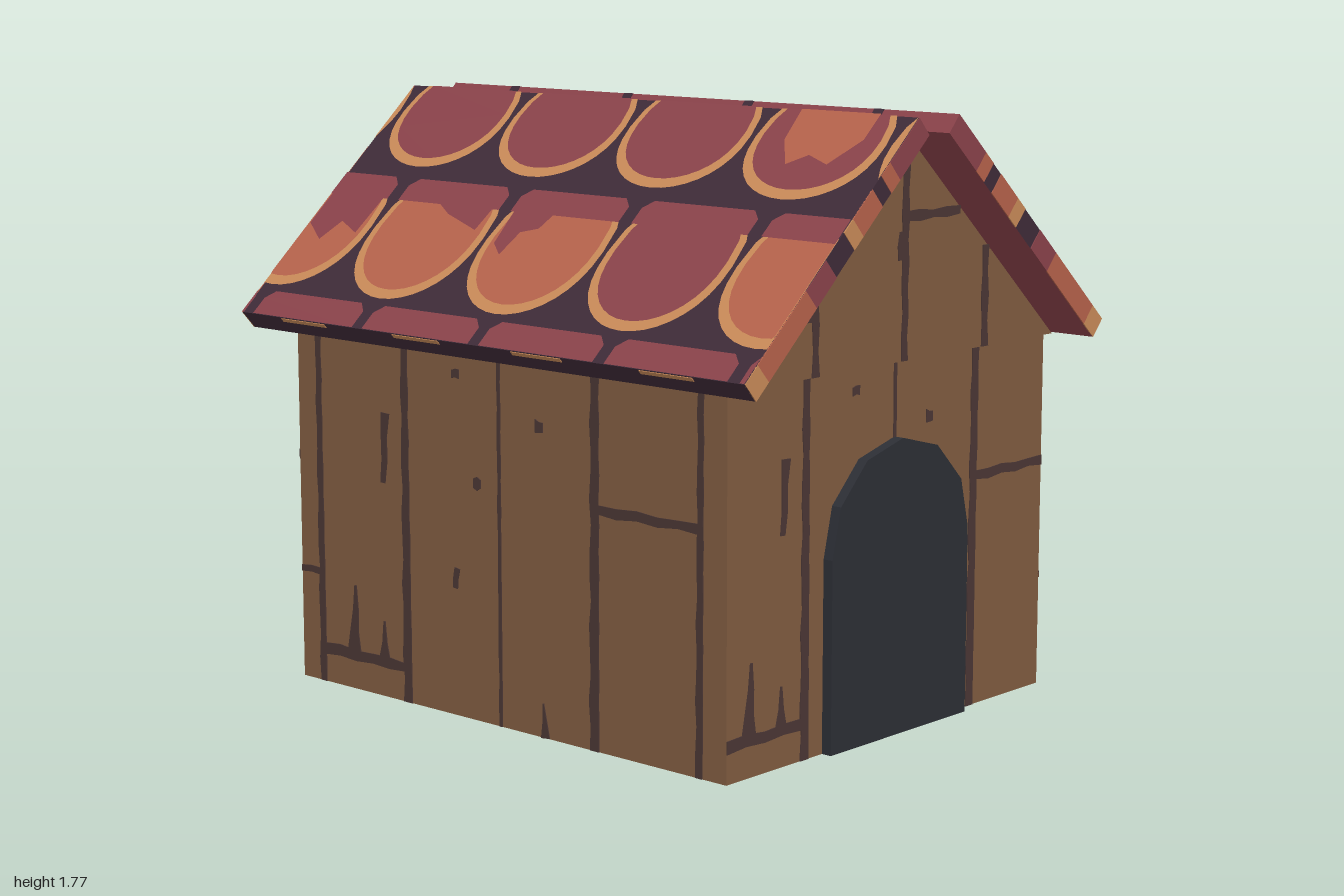
import * as THREE from 'three';

const material = (name, color, side = THREE.FrontSide) => {
  const m = new THREE.MeshStandardMaterial({ color, side });
  m.name = name;
  return m;
};

const W = 0.715, D = 0.857, EAVE = 1.075, APEX = 1.712, GABLE_D = 0.887;
const SLOPE = 0.967, THICK = 0.067, PITCH = Math.atan2(0.645, 0.72), ROOF_Z = 0.998;

// Plank joints, splits and knots: [u0, v0, u1, v1, startWidth, endWidth]
const WALL_CRACKS = [
  [-0.765, 0, -0.765, EAVE, 0.026, 0.022], [-0.39, 0, -0.39, EAVE, 0.034, 0.026],
  [0, 0, 0, EAVE, 0.012, 0.012], [0.37, 0, 0.375, EAVE, 0.034, 0.03],
  [0.76, 0, 0.765, EAVE, 0.024, 0.02],
  [-0.76, 0.105, -0.4, 0.105, 0.035, 0.03], [-0.86, 0.34, -0.77, 0.34, 0.02, 0.02],
  [0.38, 0.69, 0.76, 0.69, 0.03, 0.025],
  [-0.625, 0.1, -0.615, 0.32, 0.055, 0.008], [-0.49, 0.1, -0.49, 0.23, 0.045, 0.006],
  [-0.485, 0.65, -0.475, 0.86, 0.02, 0.03], [0.18, 0, 0.17, 0.1, 0.03, 0.005],
  [-0.19, 1.01, -0.16, 1.01, 0.025, 0.025], [0.145, 0.895, 0.175, 0.895, 0.035, 0.03],
  [-0.105, 0.7, -0.075, 0.7, 0.035, 0.03], [-0.185, 0.38, -0.175, 0.44, 0.02, 0.02],
];
const GABLE_CRACKS = [
  [0, EAVE, 0, 1.69, 0.024, 0.03], [-0.39, EAVE, -0.39, 1.36, 0.028, 0.02],
  [0.375, EAVE, 0.375, 1.37, 0.03, 0.026], [0, 1.48, 0.25, 1.48, 0.03, 0.025],
  [-0.52, 1.24, -0.39, 1.24, 0.025, 0.025], [-0.015, 1.36, -0.015, 1.44, 0.035, 0.03],
];

function add(parent, geometry, mat, name) {
  const mesh = new THREE.Mesh(geometry, mat);
  mesh.name = name;
  parent.add(mesh);
  return mesh;
}

// A thin plate with slightly wavering edges, centred on z = 0
function crackGeometry([u0, v0, u1, v1, w0, w1]) {
  const len = Math.hypot(u1 - u0, v1 - v0), n = Math.max(2, Math.round(len * 14));
  const nx = -(v1 - v0) / len, ny = (u1 - u0) / len, left = [], right = [];
  for (let i = 0; i <= n; i++) {
    const t = i / n, w = (w0 + (w1 - w0) * t) / 2;
    const a = w * (1 + 0.25 * Math.sin(i * 2.3 + u0 * 9));
    const b = w * (1 + 0.25 * Math.sin(i * 3.1 + v0 * 7));
    const x = u0 + (u1 - u0) * t, y = v0 + (v1 - v0) * t;
    left.push(new THREE.Vector2(x + nx * a, y + ny * a));
    right.unshift(new THREE.Vector2(x - nx * b, y - ny * b));
  }
  const g = new THREE.ExtrudeGeometry(new THREE.Shape([...left, ...right]), { depth: 0.006, bevelEnabled: false });
  return g.translate(0, 0, -0.003);
}

// Flat roof patch from [slope, z] points, trimmed at the roof ends
function patchGeometry(points, lift) {
  const pts = points.map(([s, z]) => new THREE.Vector2(s, -THREE.MathUtils.clamp(z, -ROOF_Z, ROOF_Z)));
  return new THREE.ShapeGeometry(new THREE.Shape(pts)).rotateX(-Math.PI / 2).translate(0, lift, 0);
}

// Rounded tile outline running from s0 down to s1
function tilePoints(zc, s0, s1, w) {
  const pts = [[s0, zc - w * 0.88], [s0 + 0.04, zc - w * 0.96]];
  const mid = s0 + (s1 - s0) * 0.33;
  for (let i = 0; i <= 18; i++) {
    const a = (i / 18 - 0.5) * Math.PI;
    pts.push([mid + (s1 - mid) * Math.pow(Math.max(0, Math.cos(a)), 0.85), zc + w * Math.sin(a)]);
  }
  pts.push([s0 + 0.04, zc + w * 0.96], [s0, zc + w * 0.88]);
  return pts;
}

// Squared upper part of a tile
const bandPoints = (zc, s0, s1, w) => [
  [s1, zc - w], [s0 + 0.03, zc - w], [s0, zc - w + 0.03],
  [s0, zc + w - 0.03], [s0 + 0.03, zc + w], [s1, zc + w],
];

function roofSlab(side, mats) {
  const { dark, red, orange, rim } = mats;
  const slab = new THREE.Group();
  const visible = (z, w) => Math.abs(z) - w < ROOF_Z - 0.005;
  const board = new THREE.BoxGeometry(SLOPE, THICK, ROOF_Z * 2).translate(SLOPE / 2, -THICK / 2, 0);
  add(slab, board, [dark, red, dark, red, dark, dark], 'roofBoard');

  const tile = (z, s0, s1, color) => {
    if (!visible(z, 0.232)) return;
    add(slab, patchGeometry(tilePoints(z, s0, s1, 0.232), 0.002), rim, 'tileRim');
    if (visible(z, 0.207)) add(slab, patchGeometry(tilePoints(z, s0, s1 - 0.035, 0.207), 0.004), color, 'tileFace');
  };
  const blotch = (points, color) => add(slab, patchGeometry(points.map(([s, z]) => [s, z * side]), 0.006), color, 'tileStain');

  for (let k = -1; k <= 4; k++) {
    const z = (0.72 - 0.482 * k) * side;
    // Ridge row and eave row share the same spacing
    tile(z, 0, 0.335, red);
    if (visible(z, 0.22)) add(slab, patchGeometry(bandPoints(z, 0.875, SLOPE, 0.22), 0.003), red, 'eaveTile');
    if (k >= 0 && k < 4) {
      add(slab, new THREE.BoxGeometry(0.004, THICK, 0.035).translate(0, -THICK / 2, z), dark, 'ridgeJoint');
      add(slab, new THREE.BoxGeometry(0.004, 0.014, 0.19).translate(SLOPE, -0.01, z), rim, 'eaveTip');
    }
  }
  const middle = [orange, red, orange, orange, orange];
  middle.forEach((color, k) => {
    const z = (0.957 - 0.479 * k) * side;
    tile(z, 0.455, 0.85, color);
    add(slab, patchGeometry(bandPoints(z, 0.385, 0.475, 0.215), 0.005), red, 'tileTop');
  });

  // Weathered colour patches
  blotch([[0.0, 0.87], [0.1, 0.87], [0.2, 0.8], [0.17, 0.72], [0.21, 0.66], [0.12, 0.6], [0, 0.59]], orange);
  blotch([[0.47, -0.04], [0.53, -0.06], [0.55, -0.12], [0.64, -0.14], [0.6, -0.19], [0.47, -0.2]], red);
  blotch([[0.47, -0.29], [0.56, -0.3], [0.54, -0.36], [0.51, -0.45], [0.47, -0.52]], red);
  blotch([[0.47, -0.76], [0.62, -0.77], [0.58, -0.86], [0.66, -0.9], [0.6, -0.99], [0.47, -0.99]], red);

  // Painted pieces on both end grains
  const ends = [[0, 0.17, red], [0.17, 0.22, orange], [0.27, 0.38, orange], [0.38, 0.43, rim],
    [0.53, 0.64, red], [0.64, 0.9, orange], [0.9, SLOPE, rim]];
  for (const [a, b, color] of ends) {
    for (const e of [1, -1]) {
      add(slab, new THREE.BoxGeometry(b - a, THICK, 0.004).translate((a + b) / 2, -THICK / 2, e * ROOF_Z), color, 'endTile');
    }
  }

  slab.position.set(0.09, 1.765, 0);
  slab.rotation.z = -PITCH;
  const holder = new THREE.Group();
  holder.name = side > 0 ? 'leftRoof' : 'rightRoof';
  holder.add(slab);
  if (side < 0) holder.rotation.y = Math.PI;
  return holder;
}

export function createModel() {
  const wood = material('wood', 0x805c40, THREE.DoubleSide);
  const crack = material('woodJoint', 0x4a3634);
  const doorway = material('doorway', 0x2c2e35);
  const roof = {
    dark: material('roofDark', 0x3e2b38), red: material('roofRed', 0x8a424a),
    orange: material('roofOrange', 0xb5624b), rim: material('roofRim', 0xc88a58),
  };
  const model = new THREE.Group();
  model.name = 'kennel';

  // Four walls, open underneath
  ['frontWall', 'leftWall', 'backWall', 'rightWall'].forEach((name, i) => {
    const half = i % 2 ? D : W, depth = i % 2 ? W : D;
    const wall = new THREE.Group();
    wall.name = name;
    wall.rotation.y = i * Math.PI / 2;
    add(wall, new THREE.PlaneGeometry(half * 2, EAVE).translate(0, EAVE / 2, depth), wood, name + 'Boards');
    for (const c of WALL_CRACKS) {
      const a = THREE.MathUtils.clamp(c[0], -half, half), b = THREE.MathUtils.clamp(c[2], -half, half);
      if (a === b && a !== c[0]) continue;
      add(wall, crackGeometry([a, c[1], b, c[3], c[4], c[5]]).translate(0, 0, depth), crack, 'plankJoint');
    }
    model.add(wall);
  });

  // Gable prism
  const gable = new THREE.Shape([[-W, EAVE], [W, EAVE], [0, APEX]].map(p => new THREE.Vector2(...p)));
  add(model, new THREE.ExtrudeGeometry(gable, { depth: GABLE_D * 2, bevelEnabled: false }).translate(0, 0, -GABLE_D), wood, 'gable');
  for (const turn of [0, Math.PI]) {
    const face = new THREE.Group();
    face.name = turn ? 'backGableJoints' : 'frontGableJoints';
    face.rotation.y = turn;
    for (const c of GABLE_CRACKS) add(face, crackGeometry(c).translate(0, 0, GABLE_D), crack, 'gableJoint');
    model.add(face);
  }
  add(model, new THREE.BoxGeometry(0.02, 0.008, 1.66).translate(-0.005, APEX - 0.004, 0), crack, 'ridgeLine');

  // Arched doorway
  const arch = [[0.31, 0], [0.31, 0.555], [0.275, 0.7], [0.16, 0.815], [0, 0.857],
    [-0.16, 0.815], [-0.275, 0.7], [-0.31, 0.555], [-0.31, 0]].map(p => new THREE.Vector2(...p));
  add(model, new THREE.ExtrudeGeometry(new THREE.Shape(arch), { depth: 0.036, bevelEnabled: false }).translate(0, 0, 0.853), doorway, 'doorway');

  // Two roof slabs
  model.add(roofSlab(1, roof), roofSlab(-1, roof));
  return model;
}
